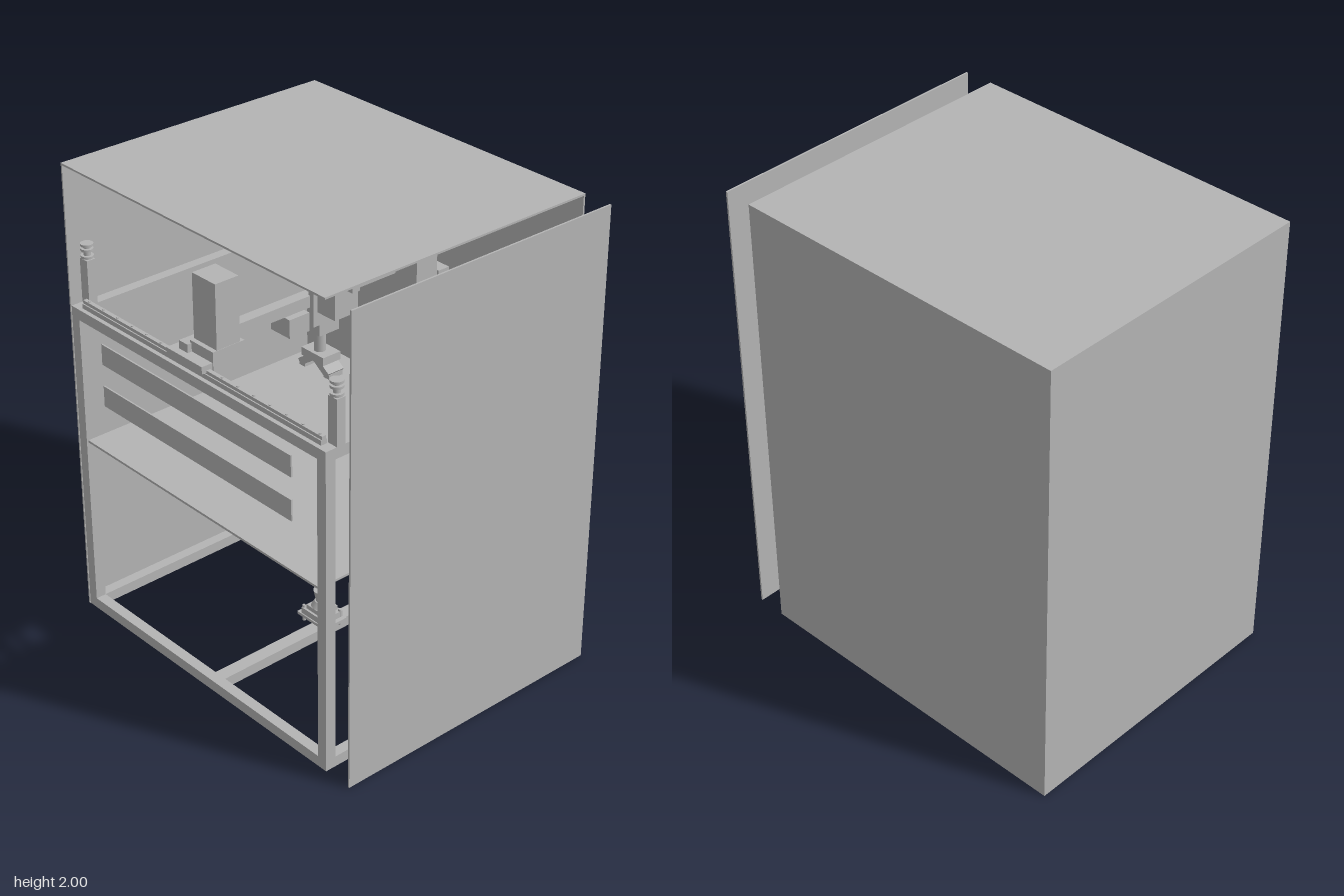
import * as THREE from 'three';

export function createModel() {
  const model = new THREE.Group();
  model.name = 'enclosedGantryMachine';
  const grey = new THREE.MeshStandardMaterial({ color: 0xb4b4b4 });
  grey.name = 'plain grey';

  const add = (name, geo, parent = model) => {
    const m = new THREE.Mesh(geo, grey);
    m.name = name;
    parent.add(m);
    return m;
  };
  // Box from its minimum and maximum on each axis
  const box = (name, x0, x1, y0, y1, z0, z1, parent) => {
    const m = add(name, new THREE.BoxGeometry(x1 - x0, y1 - y0, z1 - z0), parent);
    m.position.set((x0 + x1) / 2, (y0 + y1) / 2, (z0 + z1) / 2);
    return m;
  };
  const cyl = (name, rTop, rBottom, x, y0, y1, z, parent) => {
    const m = add(name, new THREE.CylinderGeometry(rTop, rBottom, y1 - y0, 24), parent);
    m.position.set(x, (y0 + y1) / 2, z);
    return m;
  };
  const group = (name) => {
    const g = new THREE.Group();
    g.name = name;
    model.add(g);
    return g;
  };

  // Cover panels, with the +x side panel moved away from the frame
  const covers = group('covers');
  box('topPanel', -0.815, 0.685, 1.992, 2, -0.635, 0.635, covers);
  box('leftPanel', -0.815, -0.808, 0, 1.992, -0.627, 0.635, covers);
  box('backPanel', -0.815, 0.685, 0, 1.992, -0.635, -0.627, covers);
  box('detachedSidePanel', 0.807, 0.815, 0, 2, -0.632, 0.632, covers);

  // Frame of square bars
  const frame = group('frame');
  const t = 0.046, xl = -0.807, xr = 0.685, zb = -0.626, zf = 0.632;
  for (const x of [xl, xr - t]) {
    for (const z of [zb, zf - t]) box('post', x, x + t, 0, 1.4, z, z + t, frame);
    for (const y of [0, 1.4 - t]) box('sideBar', x, x + t, y, y + t, zb + t, zf - t, frame);
    // Short uprights with a clip on top
    for (const z of [-0.56, 0.56]) {
      const c = x + t / 2;
      box('upright', x, x + t, 1.4, 1.59, z - 0.02, z + 0.02, frame);
      cyl('clipNeck', 0.014, 0.014, c, 1.59, 1.65, z, frame);
      for (const y of [1.595, 1.625, 1.645]) cyl('clipFlange', 0.026, 0.026, c, y, y + 0.01, z, frame);
    }
  }
  for (const z of [zb, zf - t])
    for (const y of [0, 1.4 - t]) box('crossBar', xl + t, xr - t, y, y + t, z, z + t, frame);
  box('floorBar', -0.03, 0.03, 0, t, zb + t, zf - t, frame);
  box('shelf', -0.76, 0.64, 0.8, 0.81, -0.62, 0.625, frame);
  for (const y of [1.03, 1.215]) box('frontSlat', -0.62, 0.5, y, y + 0.09, 0.627, 0.634, frame);

  // Linear rails with small bolts
  const rails = group('rails');
  for (const z of [-0.6, 0.6]) {
    box('railBase', -0.76, 0.64, 1.4, 1.42, z - 0.014, z + 0.014, rails);
    box('rail', -0.76, 0.64, 1.42, 1.434, z - 0.009, z + 0.009, rails);
    for (let i = 0; i < 16; i++) cyl('railBolt', 0.006, 0.006, -0.73 + i * 0.09, 1.434, 1.438, z, rails);
  }

  // Gantry running front to back
  const gantry = group('gantry');
  box('beam', -0.17, -0.12, 1.44, 1.49, -0.6, 0.6, gantry);
  box('beamRail', -0.185, -0.17, 1.455, 1.475, -0.55, 0.55, gantry);
  for (const s of [-1, 1]) {
    const z = s * 0.6;
    box('railCarriage', -0.21, 0.0, 1.425, 1.455, z - 0.03, z + 0.03, gantry);
  }
  box('driveFoot', -0.13, 0.005, 1.42, 1.5, 0.43, 0.58, gantry);
  box('driveMotor', -0.13, 0.003, 1.5, 1.77, 0.45, 0.56, gantry);
  box('backMotor', -0.13, 0, 1.44, 1.58, -0.56, -0.45, gantry);

  // Tool head on the gantry
  const head = group('toolHead');
  box('headPlate', -0.13, -0.1, 1.36, 1.7, -0.16, 0.0, head);
  box('headBody', -0.1, 0.0, 1.42, 1.66, -0.14, -0.02, head);
  box('sideMotor', -0.24, -0.19, 1.51, 1.66, -0.14, -0.03, head);
  box('motorBracket', -0.19, -0.13, 1.5, 1.58, -0.13, -0.04, head);
  for (let i = 0; i < 10; i++)
    box('rackTooth', -0.175, -0.13, 1.46 + i * 0.028, 1.474 + i * 0.028, -0.1, -0.06, head);
  box('connector', 0, 0.055, 1.545, 1.58, -0.1, -0.06, head);
  box('cableTab', 0, 0.045, 1.67, 1.7, -0.1, -0.08, head);
  box('cableBlock', -0.1, 0.0, 1.66, 1.7, -0.12, -0.06, head);
  box('toolMount', -0.2, -0.1, 1.31, 1.37, -0.13, -0.03, head);
  cyl('toolSpindle', 0.024, 0.024, -0.155, 1.2, 1.44, -0.08, head);
  box('gripperBase', -0.22, -0.09, 1.18, 1.215, -0.13, -0.04, head);
  for (const s of [-1, 1]) {
    const arm = add('gripperArm', new THREE.BoxGeometry(0.09, 0.03, 0.08), head);
    arm.position.set(-0.155 + s * 0.045, 1.165, -0.085);
    arm.rotation.z = -s * 0.6;
    box('gripperFoot', -0.155 + s * 0.072 - 0.016, -0.155 + s * 0.072 + 0.016, 1.125, 1.145, -0.12, -0.05, head);
  }
  box('frontCarriage', -0.2, -0.09, 1.36, 1.44, 0.03, 0.13, head);

  // Two reel holders on the open side
  const outline = (pts) => {
    const s = new THREE.Shape();
    pts.forEach(([a, b], i) => (i ? s.lineTo(a, b) : s.moveTo(a, b)));
    return s;
  };
  for (const z of [-0.235, 0.235]) {
    const holder = group('reelHolder');
    // Base plate drawn in plan with cut corners and holes
    const plan = outline([[0.57, -0.13], [0.73, -0.13], [0.76, -0.08], [0.76, 0.08], [0.73, 0.13], [0.57, 0.13]]);
    for (const h of [-0.07, 0.07]) {
      const hole = new THREE.Path();
      hole.absarc(0.733, h, 0.009, 0, Math.PI * 2, true);
      plan.holes.push(hole);
    }
    const plate = add('holderTop', new THREE.ExtrudeGeometry(plan, { depth: 0.012, bevelEnabled: false }), holder);
    plate.rotation.x = -Math.PI / 2;
    plate.position.set(0, 1.535, z);
    // Tapered cheeks
    const cheek = outline([[0.64, 1.535], [0.75, 1.535], [0.775, 1.24], [0.755, 1.22], [0.69, 1.22], [0.69, 1.36]]);
    for (const s of [-1, 1]) {
      const c = add('holderCheek', new THREE.ExtrudeGeometry(cheek, { depth: 0.015, bevelEnabled: false }), holder);
      c.position.z = z + s * 0.07 - 0.0075;
    }
    box('holderFace', 0.735, 0.76, 1.22, 1.535, z - 0.07, z + 0.07, holder);
    box('innerBlock', 0.57, 0.64, 1.22, 1.36, z - 0.07, z + 0.07, holder);
    box('innerArm', 0.64, 0.735, 1.22, 1.25, z - 0.07, z + 0.07, holder);
    const knob = cyl('knob', 0.05, 0.055, 0.78, 1.28, 1.32, z, holder);
    knob.rotation.z = -Math.PI / 2;
    box('knobMount', 0.75, 0.79, 1.23, 1.38, z - 0.045, z + 0.045, holder);
  }

  // Control box between the holders
  const control = group('controlBox');
  box('controlBody', 0.6, 0.77, 1.26, 1.42, -0.08, 0.075, control);
  box('controlFace', 0.77, 0.785, 1.25, 1.43, -0.075, 0.035, control);
  box('controlLid', 0.69, 0.745, 1.42, 1.44, -0.09, 0.08, control);

  // Upward camera standing on the floor bar
  const cam = group('floorCamera');
  const cx = -0.01, cz = 0.04;
  box('cameraBase', cx - 0.085, cx + 0.085, 0.07, 0.083, cz - 0.06, cz + 0.06, cam);
  box('cameraBoard', cx - 0.065, cx + 0.065, 0.083, 0.11, cz - 0.055, cz + 0.055, cam);
  box('cameraBlock', cx - 0.045, cx + 0.045, 0.11, 0.13, cz - 0.045, cz + 0.045, cam);
  cyl('cameraNeck', 0.03, 0.045, cx, 0.13, 0.155, cz, cam);
  cyl('cameraLens', 0.035, 0.025, cx, 0.155, 0.205, cz, cam);
  for (const sx of [-1, 1])
    for (const sz of [-1, 1]) cyl('cameraLeg', 0.007, 0.007, cx + sx * 0.06, 0.045, 0.12, cz + sz * 0.045, cam);

  // Electronics rack with a slotted floor tray
  const rack = group('electronicsRack');
  const tray = outline([[0.12, -0.6], [0.64, -0.6], [0.64, -0.28], [0.12, -0.28]]);
  for (let r = 0; r < 2; r++)
    for (let i = 0; i < 8; i++) {
      const x = 0.2 + i * 0.045, z = -0.52 + r * 0.1;
      const slot = new THREE.Path();
      slot.moveTo(x, z).lineTo(x, z + 0.07).lineTo(x + 0.02, z + 0.07).lineTo(x + 0.02, z).closePath();
      tray.holes.push(slot);
    }
  const floor = add('slottedTray', new THREE.ExtrudeGeometry(tray, { depth: 0.012, bevelEnabled: false }), rack);
  floor.rotation.x = Math.PI / 2;
  floor.position.y = 0.057;
  for (const y of [0.26, 0.445]) box('rackShelf', 0.12, 0.635, y, y + 0.013, -0.6, -0.28, rack);
  for (const x of [0.145, 0.612])
    for (const z of [-0.57, -0.31]) {
      cyl('rackPost', 0.011, 0.011, x, 0.05, 0.45, z, rack);
      cyl('rackNut', 0.016, 0.016, x, 0.455, 0.47, z, rack);
    }
  box('circuitBoard', 0.17, 0.58, 0.075, 0.085, -0.55, -0.33, rack);
  for (let i = 0; i < 12; i++)
    box('boardPin', 0.19 + i * 0.024, 0.2 + i * 0.024, 0.085, 0.125, -0.36, -0.34, rack);
  box('boardPort', 0.5, 0.59, 0.085, 0.16, -0.45, -0.33, rack);
  box('boardChip', 0.27, 0.37, 0.085, 0.1, -0.49, -0.41, rack);

  return model;
}
